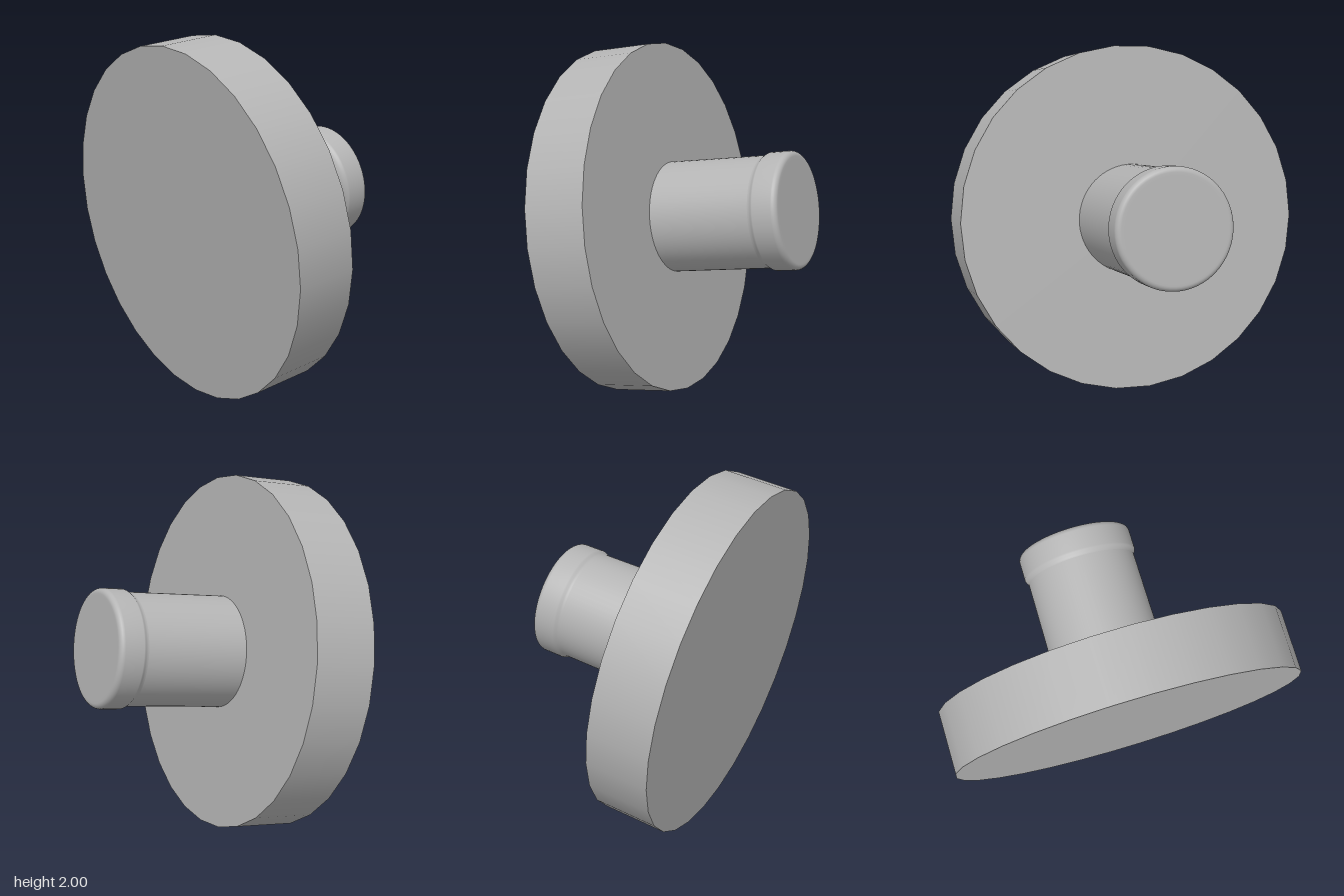
import * as THREE from 'three';

export function createModel() {
  const grey = new THREE.MeshStandardMaterial({ color: 0xb4b4b4 });
  grey.name = 'plain grey';

  const model = new THREE.Group();
  model.name = 'flangedPin';

  // Everything is turned around one tilted axis; local y runs along it
  const pin = new THREE.Group();
  pin.name = 'tiltedPin';
  pin.position.set(-0.3, 1, 0);
  pin.quaternion.setFromUnitVectors(
    new THREE.Vector3(0, 1, 0),
    new THREE.Vector3(0.34, 0.05, -0.05).normalize()
  );
  model.add(pin);

  const add = (name, geometry, y = 0) => {
    const mesh = new THREE.Mesh(geometry, grey);
    mesh.name = name;
    mesh.position.y = y;
    pin.add(mesh);
  };

  // Broad disc with a visibly faceted rim outline
  add('disc', new THREE.CylinderGeometry(0.985, 0.985, 0.347, 30, 1, false, Math.PI / 2));

  // Shaft standing on the disc, very slightly tapered
  add('shaft', new THREE.CylinderGeometry(0.309, 0.313, 0.6, 64, 1, true), 0.4735);

  // Raised head: soft step out, straight band, rounded edge, flat end
  const radius = 0.324, round = 0.03, end = 0.925;
  const profile = [
    [0.309, 0.755], [0.31, 0.764], [0.314, 0.773], [0.32, 0.781], [radius, 0.79]
  ].map(([r, y]) => new THREE.Vector2(r, y));
  for (let i = 0; i <= 6; i++) {
    const a = (i / 6) * Math.PI / 2;
    profile.push(new THREE.Vector2(
      radius - round + round * Math.cos(a),
      end - round + round * Math.sin(a)
    ));
  }
  profile.push(new THREE.Vector2(0.28, end), new THREE.Vector2(0, end));
  add('head', new THREE.LatheGeometry(profile, 64));

  return model;
}
